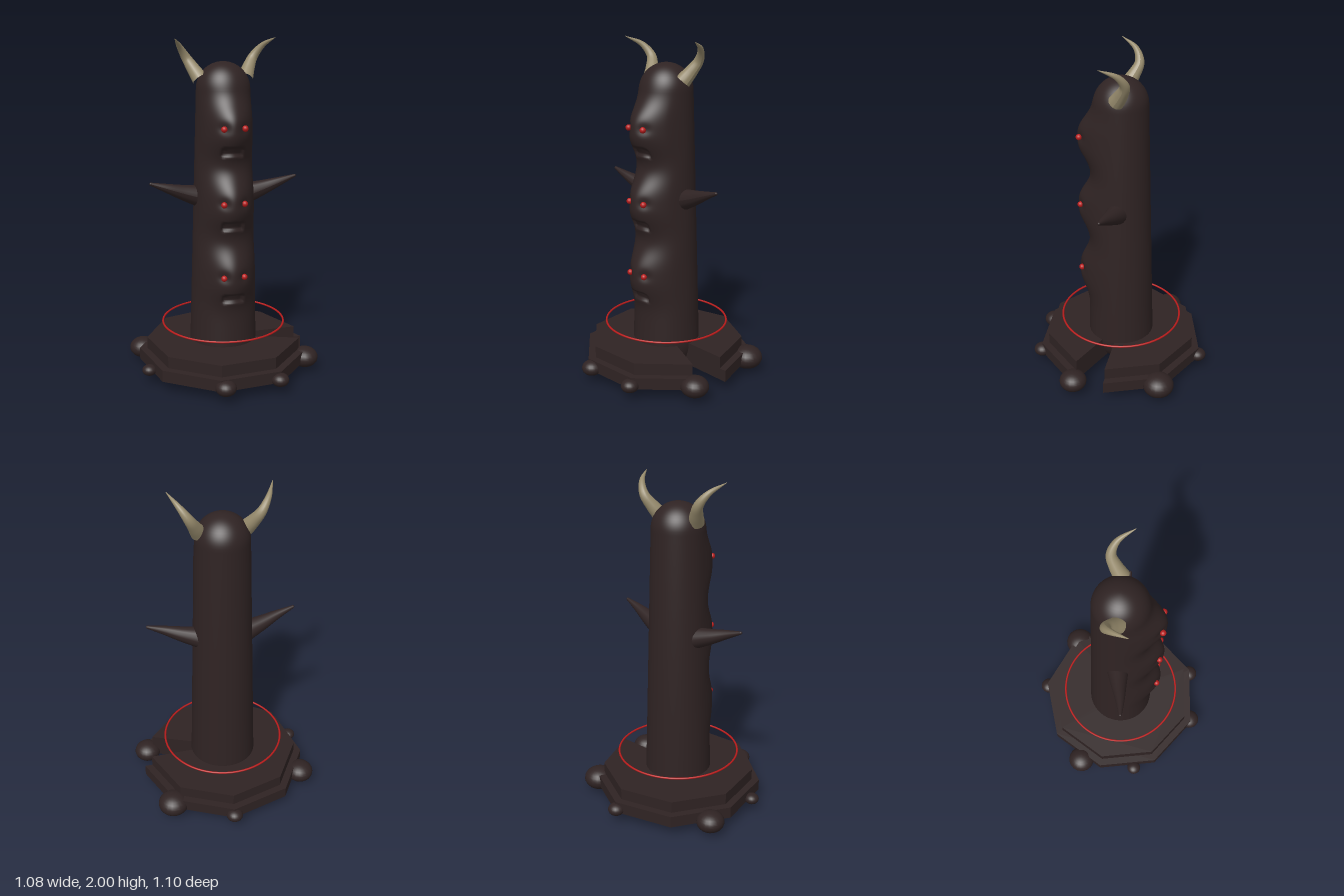
import * as THREE from 'three';
import { mergeVertices } from 'three/addons/utils/BufferGeometryUtils.js';

const mat = (name, color) => Object.assign(new THREE.MeshStandardMaterial({ color }), { name });
const bark = mat('darkBark', 0x2f2323);
const red = mat('glowRed', 0xb81c1c);
const bone = mat('bone', 0x968a6c);

const FACES = [[1.5, 0.092], [1.07, 0.082], [0.635, 0.066]]; // height, bulge depth
const gauss = (d, w) => Math.exp(-((d / w) ** 2));
const smooth = THREE.MathUtils.smoothstep;

function add(parent, name, geometry, material, x = 0, y = 0, z = 0) {
  const mesh = new THREE.Mesh(geometry, material);
  mesh.name = name;
  mesh.position.set(x, y, z);
  parent.add(mesh);
  return mesh;
}

// Forward push of the trunk surface: brow and cheek bulges, eye sockets and mouths
function facePush(x, y) {
  let push = 0;
  for (const [fy, depth] of FACES) {
    push += depth * gauss(x, 0.15) * Math.exp(-(Math.abs((y - fy) / 0.145) ** 2.6));
    for (const s of [-1, 1]) push -= 0.012 * gauss(x - s * 0.06, 0.03) * gauss(y - fy - 0.012, 0.03);
    const my = y - (fy - 0.12) + 2 * x * x;
    const across = 1 - smooth(Math.abs(x), 0.055, 0.07);
    push -= 0.022 * across * smooth(my, -0.035, -0.015) * (1 - smooth(my, 0.02, 0.03));
  }
  return push;
}

// Tapered round trunk with rounded ends, turned on a lathe then pushed into faces
function trunkGeometry() {
  const pts = [];
  const R = 0.2, r = 0.156, y0 = 0.203, y1 = 1.712;
  for (let i = 0; i <= 12; i++) {
    const a = (i / 12 - 1) * Math.PI / 2;
    pts.push(new THREE.Vector2(R * Math.cos(a), y0 + R * Math.sin(a)));
  }
  for (let i = 1; i < 150; i++) {
    const t = i / 150;
    pts.push(new THREE.Vector2(R + (r - R) * t, y0 + (y1 - y0) * t));
  }
  for (let i = 0; i <= 14; i++) {
    const a = i / 14 * Math.PI / 2;
    pts.push(new THREE.Vector2(r * Math.cos(a), y1 + r * Math.sin(a)));
  }
  let g = new THREE.LatheGeometry(pts, 112, Math.PI);
  g.deleteAttribute('uv');
  g.deleteAttribute('normal');
  g = mergeVertices(g, 1e-5);
  const p = g.attributes.position;
  for (let i = 0; i < p.count; i++) {
    const x = p.getX(i), y = p.getY(i), z = p.getZ(i);
    if (z > 0) p.setZ(i, z + facePush(x, y) * smooth(z, 0, 0.09));
  }
  g.computeVertexNormals();
  return g;
}

// Tube along a curve whose radius shrinks from base to tip
function taper(points, r0, r1, power = 1) {
  const curve = new THREE.CatmullRomCurve3(points.map(p => new THREE.Vector3(...p)));
  const rows = 24, sides = 16;
  const g = new THREE.TubeGeometry(curve, rows, 1, sides);
  const p = g.attributes.position, v = new THREE.Vector3();
  for (let i = 0; i < p.count; i++) {
    const t = Math.floor(i / (sides + 1)) / rows;
    const c = curve.getPointAt(t);
    v.fromBufferAttribute(p, i).sub(c).multiplyScalar(r1 + (r0 - r1) * (1 - t) ** power).add(c);
    p.setXYZ(i, v.x, v.y, v.z);
  }
  g.computeVertexNormals();
  return g;
}

// Faceted slab with a wedge missing on one side
function slab(radius, height) {
  const shape = new THREE.Shape();
  shape.moveTo(0, 0);
  for (let i = 0; i <= 8; i++) {
    const a = i * 42.1 * Math.PI / 180;
    shape.lineTo(radius * Math.cos(a), radius * Math.sin(a));
  }
  shape.closePath();
  return new THREE.ExtrudeGeometry(shape, { depth: height, bevelEnabled: false }).rotateX(-Math.PI / 2);
}

export function createModel() {
  const model = new THREE.Group();
  model.name = 'hornedTotem';
  const cx = -0.005, cz = 0.003;

  // Broken two-step base
  add(model, 'lowerStep', slab(0.51, 0.07), bark, cx, 0.067, cz);
  add(model, 'upperStep', slab(0.464, 0.07), bark, cx, 0.137, cz);

  // Boulders around the base: x, z, radius
  const rocks = [[0.045, -0.5, 0.05], [0.385, -0.31, 0.093], [0.455, 0.2, 0.082], [0.2, 0.468, 0.052],
    [-0.13, 0.485, 0.061], [-0.493, 0.125, 0.043], [-0.458, -0.23, 0.083]];
  for (const [x, z, r] of rocks) {
    add(model, 'boulder', new THREE.SphereGeometry(r, 20, 14), bark, x, 0.088, z).scale.y = 0.75;
  }

  // Trunk with three stacked faces
  add(model, 'trunk', trunkGeometry(), bark, cx, 0, cz);
  for (const [fy] of FACES) {
    for (const s of [-1, 1]) {
      add(model, 'eye', new THREE.SphereGeometry(0.018, 14, 10), red, cx + s * 0.061, fy + 0.012, 0.234);
    }
  }

  // Side spikes and horns, mirrored
  for (const s of [-1, 1]) {
    add(model, 'sideSpike', taper([[s * 0.13, 1.085, -0.006], [s * 0.24, 1.118, 0.008],
      [s * 0.34, 1.152, 0.022], [s * 0.438, 1.185, 0.03]], 0.066, 0.009), bark, cx);
    add(model, 'spikeTip', new THREE.SphereGeometry(0.009, 12, 8), bark, cx + s * 0.438, 1.185, 0.03);
    add(model, 'horn', taper([[s * 0.135, 1.77, 0], [s * 0.165, 1.825, -0.035], [s * 0.2, 1.885, -0.06],
      [s * 0.245, 1.95, -0.03], [s * 0.294, 2.0, 0.062]], 0.046, 0.001, 0.95), bone, cx);
  }

  // Floating ring
  const ring = new THREE.TorusGeometry(0.366, 0.006, 8, 64).rotateX(Math.PI / 2);
  add(model, 'floatingRing', ring, red, cx, 0.308, cz);
  return model;
}
